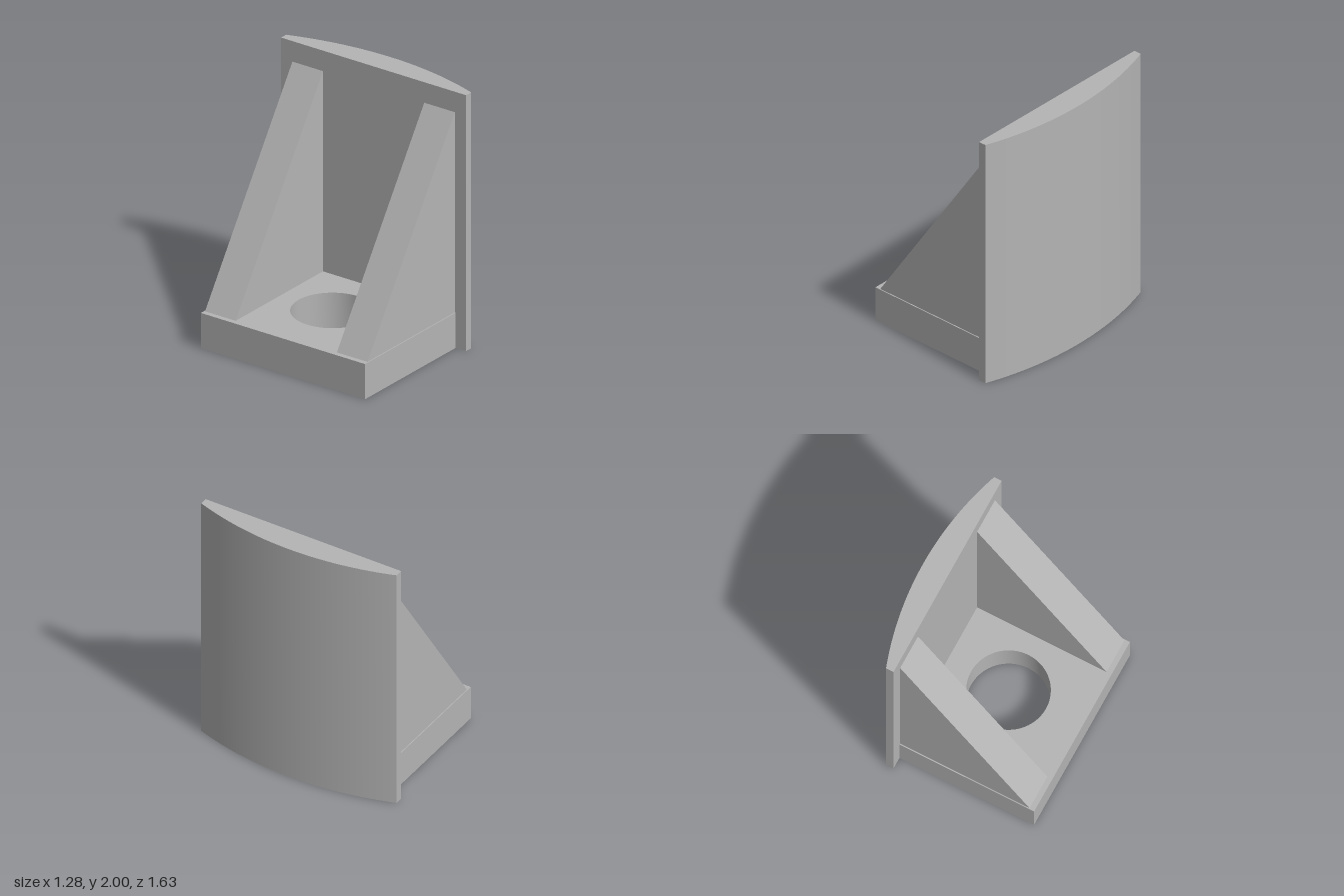
import * as THREE from 'three';
import { toCreasedNormals } from 'three/addons/utils/BufferGeometryUtils.js';

export function createModel() {
  const group = new THREE.Group();
  const grey = new THREE.MeshStandardMaterial({ color: 0xb4b4b4 });
  grey.name = 'grey';

  const add = (name, geometry) => {
    const mesh = new THREE.Mesh(toCreasedNormals(geometry, 0.5), grey);
    mesh.name = name;
    group.add(mesh);
    return mesh;
  };

  // Extrude a plan outline upwards from the ground
  const extrudeUp = (shape, height) =>
    new THREE.ExtrudeGeometry(shape, { depth: height, bevelEnabled: false, curveSegments: 48 })
      .rotateX(-Math.PI / 2);

  // Base block with a round through hole
  const base = new THREE.Shape([
    [-0.64, -0.725], [0.44, -0.725], [0.44, 0.725], [-0.64, 0.725],
  ].map(([x, y]) => new THREE.Vector2(x, y)));
  const hole = new THREE.Path();
  hole.absarc(-0.05, 0, 0.3, 0, Math.PI * 2, true);
  base.holes.push(hole);
  add('base', extrudeUp(base, 0.275));

  // Upright plate, flat inside and bowed outside
  const halfWidth = 0.817, edgeX = 0.5, bow = 0.138;
  const radius = (halfWidth ** 2 + bow ** 2) / (2 * bow);
  const angle = Math.asin(halfWidth / radius);
  const plate = new THREE.Shape();
  plate.moveTo(0.44, -halfWidth);
  plate.lineTo(edgeX, -halfWidth);
  plate.absarc(edgeX + bow - radius, 0, radius, -angle, angle, false);
  plate.lineTo(0.44, halfWidth);
  plate.closePath();
  add('curvedPlate', extrudeUp(plate, 2));

  // Pair of triangular gussets
  const thickness = 0.27;
  const triangle = new THREE.Shape();
  triangle.moveTo(-0.6, 0.275);
  triangle.lineTo(0.44, 0.275);
  triangle.lineTo(0.44, 1.84);
  triangle.closePath();
  for (const [name, z] of [['frontGusset', 0.582], ['backGusset', -0.582]]) {
    const gusset = new THREE.ExtrudeGeometry(triangle, { depth: thickness, bevelEnabled: false });
    add(name, gusset).position.z = z - thickness / 2;
  }

  return group;
}
